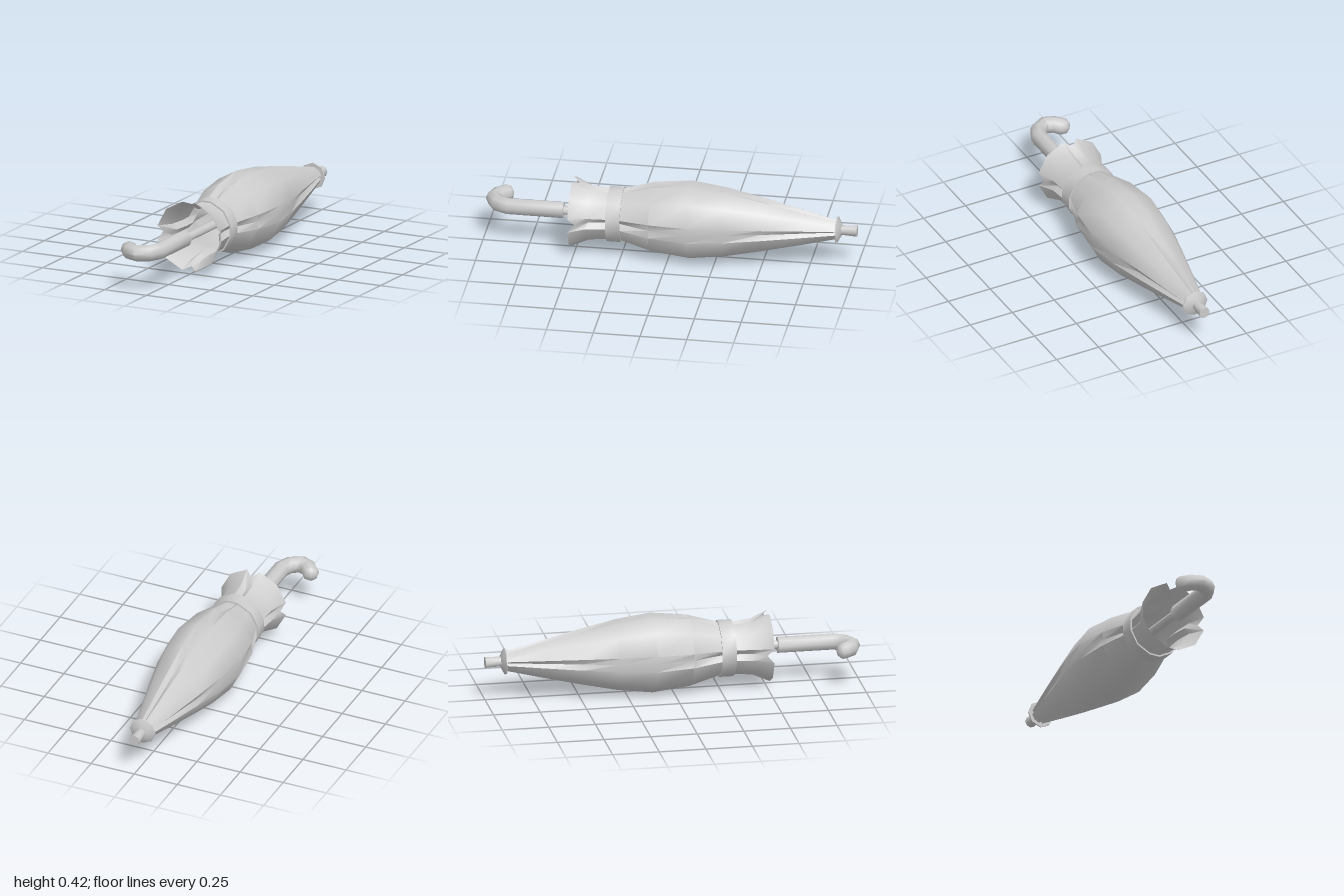
import * as THREE from 'three';
import { toCreasedNormals } from 'three/addons/utils/BufferGeometryUtils.js';

const AXIS_Y = 0.21;

// Skin a list of rings (arrays of [x, y, z], counter-clockwise seen along the path's end)
function loft(rings, crease) {
  const n = rings[0].length, index = [];
  for (let i = 0; i < rings.length - 1; i++) {
    for (let j = 0; j < n; j++) {
      const a = i * n + j, b = i * n + (j + 1) % n;
      index.push(a, b, a + n, b, b + n, a + n);
    }
  }
  const geo = new THREE.BufferGeometry();
  geo.setAttribute('position', new THREE.Float32BufferAttribute(rings.flat(2), 3));
  geo.setIndex(index);
  return toCreasedNormals(geo, crease);
}

// Ring around the z axis at the given angles
const ring = (angles, r, z) => angles.map(a => [r * Math.cos(a), r * Math.sin(a), z]);

const octagon = Array.from({ length: 8 }, (_, i) => i * Math.PI / 4);

// Angles of the rib edges, three per quadrant, either side of each fold
const quadrants = [0, 1, 2, 3].map(q => q * Math.PI / 2);
const ribs = [0.205, Math.PI / 4, Math.PI / 2 - 0.205];
const ribAngles = quadrants.flatMap(q => ribs.map(a => q + a));

export function createModel() {
  const group = new THREE.Group();
  const solid = new THREE.MeshStandardMaterial({ color: 0xcccccc });
  const cloth = new THREE.MeshStandardMaterial({ color: 0xcccccc, side: THREE.DoubleSide });
  const add = (name, geo, mat = solid) => {
    const mesh = new THREE.Mesh(geo, mat);
    mesh.name = name;
    mesh.position.y = AXIS_Y;
    group.add(mesh);
  };

  // Folded canopy: [z, rib radius, fold radius, fold z]
  const sections = [
    [-0.9, 0.049, 0.034, -0.9],
    [-0.7, 0.098, 0.080, -0.7],
    [-0.5, 0.145, 0.128, -0.5],
    [-0.3, 0.188, 0.174, -0.3],
    [-0.11, 0.2125, 0.2, -0.11],
    [0.09, 0.19, 0.175, 0.09],
    [0.25, 0.143, 0.115, 0.25],
    [0.33, 0.14, 0.112, 0.33],
    [0.43, 0.15, 0.126, 0.42],
    [0.52, 0.19, 0.17, 0.485],
  ];
  const canopy = sections.map(([z, r, foldR, foldZ]) => quadrants.flatMap(q => [
    ...ring([q], foldR, foldZ),
    ...ring(ribs.map(a => q + a), r, z),
  ]));
  add('canopy', loft(canopy, 0.75), cloth);

  // Strap holding the canopy closed
  const strap = [[0.143, 0.248], [0.152, 0.248], [0.152, 0.325], [0.143, 0.325], [0.143, 0.248]];
  add('strap', loft(strap.map(([r, z]) => ring(ribAngles, r, z)), 0.6));

  // Flared cap over the canopy's narrow end
  const cap = [[0, -0.917], [0.032, -0.917], [0.073, -0.895], [0.073, -0.889], [0, -0.889]];
  add('tipCap', loft(cap.map(([r, z]) => ring(octagon, r, z)), 0.6));

  // Shaft, slightly thicker at the ferrule
  const shaft = [[0, -1], [0.031, -1], [0.026, -0.9], [0.025, 0.58], [0, 0.58]];
  add('shaft', loft(shaft.map(([r, z]) => ring(octagon, r, z)), 0.9));

  // Crook handle: [x, z, radius, heading] with the heading turning from +z towards -x
  const path = [
    [0, 0.568, 0, 0],
    [0, 0.568, 0.045, 0],
    [0, 0.865, 0.045, 0.15],
    [-0.026, 0.922, 0.045, 0.8],
    [-0.08, 0.953, 0.045, 1.57],
    [-0.127, 0.935, 0.045, 2.2],
    [-0.16, 0.893, 0.045, 2.55],
    [-0.171, 0.875, 0.034, 2.6],
    [-0.177, 0.863, 0, 2.6],
  ];
  const handle = path.map(([x, z, r, t]) => octagon.map(a => [
    x + r * Math.cos(a) * Math.cos(t),
    r * Math.sin(a),
    z + r * Math.cos(a) * Math.sin(t),
  ]));
  add('handle', loft(handle, 1.0));

  return group;
}
